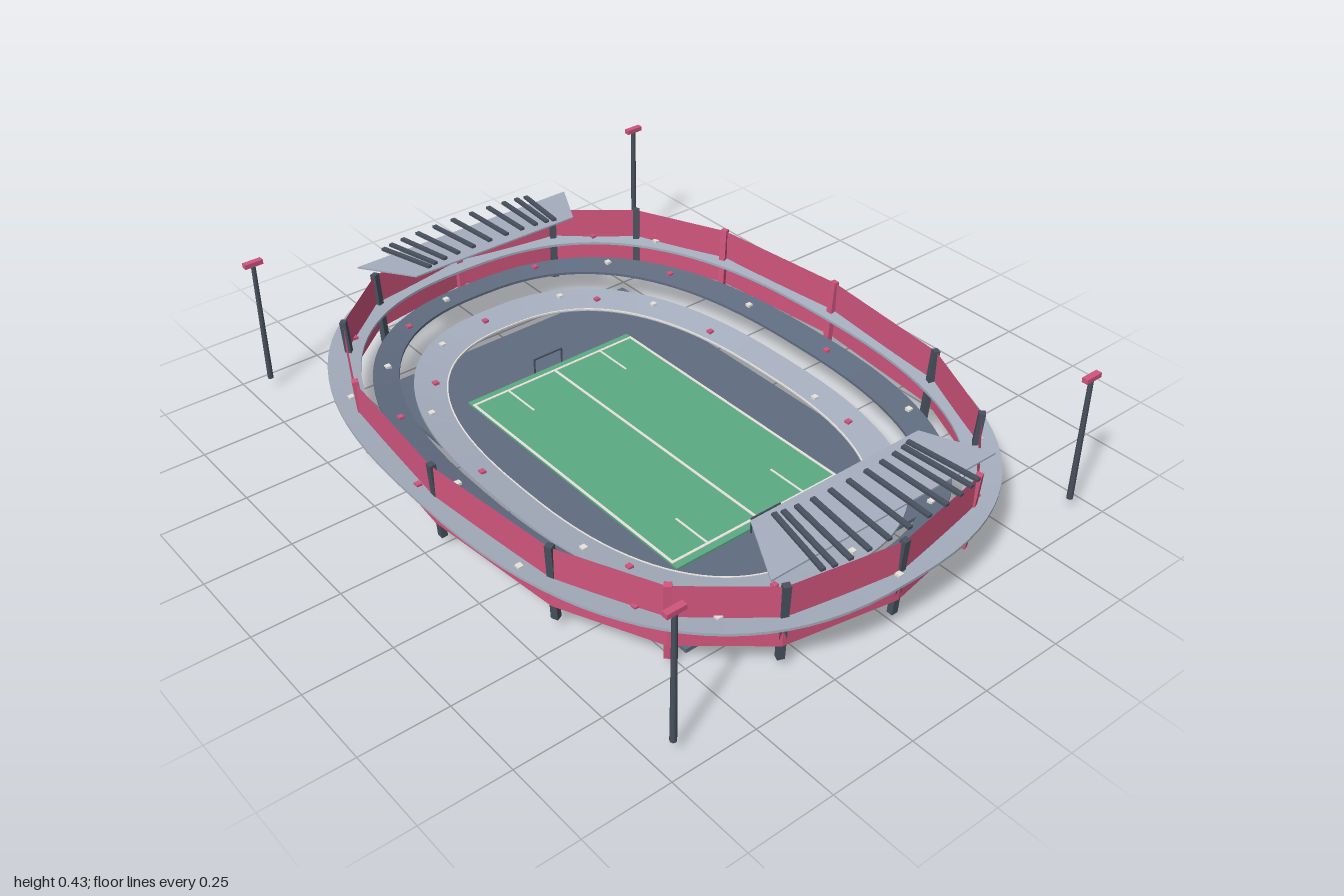
import * as THREE from 'three';

const paint = (name, color, side = THREE.FrontSide) => {
  const m = new THREE.MeshStandardMaterial({ color, side });
  m.name = name;
  return m;
};

export function createModel() {
  const root = new THREE.Group();
  root.name = 'stadium';
  const crimson = paint('crimson', 0xd0557d, THREE.DoubleSide);
  const slate = paint('slate', 0x606c80);
  const pale = paint('pale grey', 0xa6afbf);
  const dark = paint('dark steel', 0x48515e);
  const green = paint('grass green', 0x5bab82);
  const white = paint('off white', 0xe9e5df);

  const add = (name, geo, mat, x = 0, y = 0, z = 0, parent = root) => {
    const m = new THREE.Mesh(geo, mat);
    m.name = name;
    m.position.set(x, y, z);
    parent.add(m);
    return m;
  };
  const box = (name, mat, w, h, d, x, y, z, parent) =>
    add(name, new THREE.BoxGeometry(w, h, d), mat, x, y, z, parent);

  // Rounded oval plan shared by the stands, walls and columns
  const soft = v => Math.sign(v) * Math.pow(Math.abs(v), 0.8);
  const oval = (a, rx, rz) => [rx * soft(Math.cos(a)), rz * soft(Math.sin(a))];

  // Sloping oval stand: four-point section swept round the oval
  function stand(name, mat, [ix, iz, iy], [ox, oz, oy], thick = 0.008) {
    const section = [[ix, iz, iy - thick], [ix, iz, iy], [ox, oz, oy], [ox, oz, oy - thick]];
    const n = 96, pos = [];
    const point = (i, j) => {
      const [rx, rz, y] = section[j % 4];
      const [x, z] = oval((i % n) / n * Math.PI * 2, rx, rz);
      return [x, y, z];
    };
    for (let i = 0; i < n; i++) {
      for (let j = 0; j < 4; j++) {
        const a = point(i, j), b = point(i + 1, j), c = point(i + 1, j + 1), d = point(i, j + 1);
        pos.push(...a, ...b, ...c, ...a, ...c, ...d);
      }
    }
    const g = new THREE.BufferGeometry();
    g.setAttribute('position', new THREE.Float32BufferAttribute(pos, 3));
    g.computeVertexNormals();
    add(name, g, mat);
  }

  // Ground slab and pitch with its markings
  box('groundSlab', slate, 0.93, 0.012, 1.42, 0, 0.006, 0);
  box('pitch', green, 0.59, 0.006, 0.95, 0, 0.015, 0);
  const line = (w, d, x, z) => box('pitchLine', white, w, 0.002, d, x, 0.019, z);
  line(0.008, 0.9, 0, 0);
  for (const s of [-1, 1]) {
    line(0.008, 0.9, s * 0.29, 0);
    line(0.588, 0.008, 0, s * 0.45);
    for (const t of [-1, 1]) line(0.006, 0.13, s * 0.17, t * 0.385);
  }

  // Goals
  for (const s of [-1, 1]) {
    box('goalBar', dark, 0.104, 0.004, 0.004, 0, 0.06, s * 0.483);
    for (const t of [-1, 1]) box('goalPost', dark, 0.004, 0.048, 0.004, t * 0.05, 0.036, s * 0.483);
  }

  // Three tiers of stands, each sloping down to the pitch
  const tiers = [
    ['lowerStand', pale, [0.44, 0.69, 0.058], [0.525, 0.79, 0.073]],
    ['middleStand', slate, [0.56, 0.83, 0.11], [0.64, 0.885, 0.125]],
    ['upperStand', pale, [0.67, 0.91, 0.164], [0.757, 1.0, 0.178]],
  ];
  for (const t of tiers) stand(...t);
  stand('innerRail', white, [0.437, 0.687, 0.06], [0.441, 0.691, 0.06], 0.005);

  // Scattered seat blocks on each tier
  let seed = 7;
  const rand = () => (seed = (seed * 16807) % 2147483647) / 2147483647;
  tiers.forEach(([, , a, b], k) => {
    for (let i = 0; i < 18; i++) {
      const f = 0.3 + 0.4 * rand();
      const mix = q => a[q] + (b[q] - a[q]) * f;
      const [x, z] = oval((i + rand() * 0.6) / 18 * Math.PI * 2, mix(0), mix(1));
      box('seatBlock', (i + k) % 2 ? crimson : white, 0.016, 0.01, 0.016, x, mix(2) + 0.002, z);
    }
  });

  // Sixteen leaning columns with flat wall panels between them
  const bays = 16;
  for (let k = 0; k < bays; k++) {
    const a = k / bays * Math.PI * 2, next = (k + 1) / bays * Math.PI * 2;
    const [cx, cz] = oval(a, 0.7, 0.95);
    const column = box('column', k % 3 ? dark : crimson, 0.02, 0.24, 0.018, cx, 0.15, cz);
    column.rotation.order = 'YXZ';
    column.rotation.y = Math.atan2(Math.cos(a), Math.sin(a));
    column.rotation.x = 0.07;

    const [x0, z0] = oval(a, 0.71, 0.957), [x1, z1] = oval(next, 0.71, 0.957);
    const dx = x1 - x0, dz = z1 - z0;
    const wall = add('wallPanel', new THREE.PlaneGeometry(Math.hypot(dx, dz), 0.185), crimson,
      (x0 + x1) / 2, 0.172, (z0 + z1) / 2);
    wall.rotation.y = Math.atan2(dz, -dx);
  }

  // Tilted end roofs carrying fanned ribs
  for (const turn of [0, Math.PI]) {
    const roof = new THREE.Group();
    roof.name = 'endRoof';
    roof.rotation.y = turn;
    root.add(roof);
    const outline = new THREE.Shape([[-0.38, -0.9], [0.38, -0.9], [0.285, -0.725], [-0.285, -0.725]]
      .map(p => new THREE.Vector2(...p)));
    const g = new THREE.ExtrudeGeometry(outline, { depth: 0.005, bevelEnabled: false });
    g.rotateX(-Math.PI / 2);
    const p = g.attributes.position;
    for (let i = 0; i < p.count; i++) p.setY(i, p.getY(i) + 0.322 - (p.getZ(i) - 0.725) * 0.08);
    g.computeVertexNormals();
    add('roofSlab', g, pale, 0, 0, 0, roof);
    for (let i = -5; i <= 5; i++) {
      const rib = box('roofRib', dark, 0.014, 0.008, 0.21, 0.245 * Math.sin(i * 0.25) / Math.sin(1.25),
        0.321, 0.865 - 0.0008 * i * i, roof);
      rib.rotation.order = 'YXZ';
      rib.rotation.y = i * 0.035;
      rib.rotation.x = 0.08;
    }
  }

  // Corner floodlights
  for (const sx of [-1, 1]) {
    for (const sz of [-1, 1]) {
      add('floodlightPole', new THREE.CylinderGeometry(0.007, 0.009, 0.39, 8), dark, sx * 0.69, 0.23, sz * 0.932);
      box('floodlightHead', crimson, 0.056, 0.014, 0.018, sx * 0.69, 0.424, sz * 0.932);
    }
  }
  return root;
}
